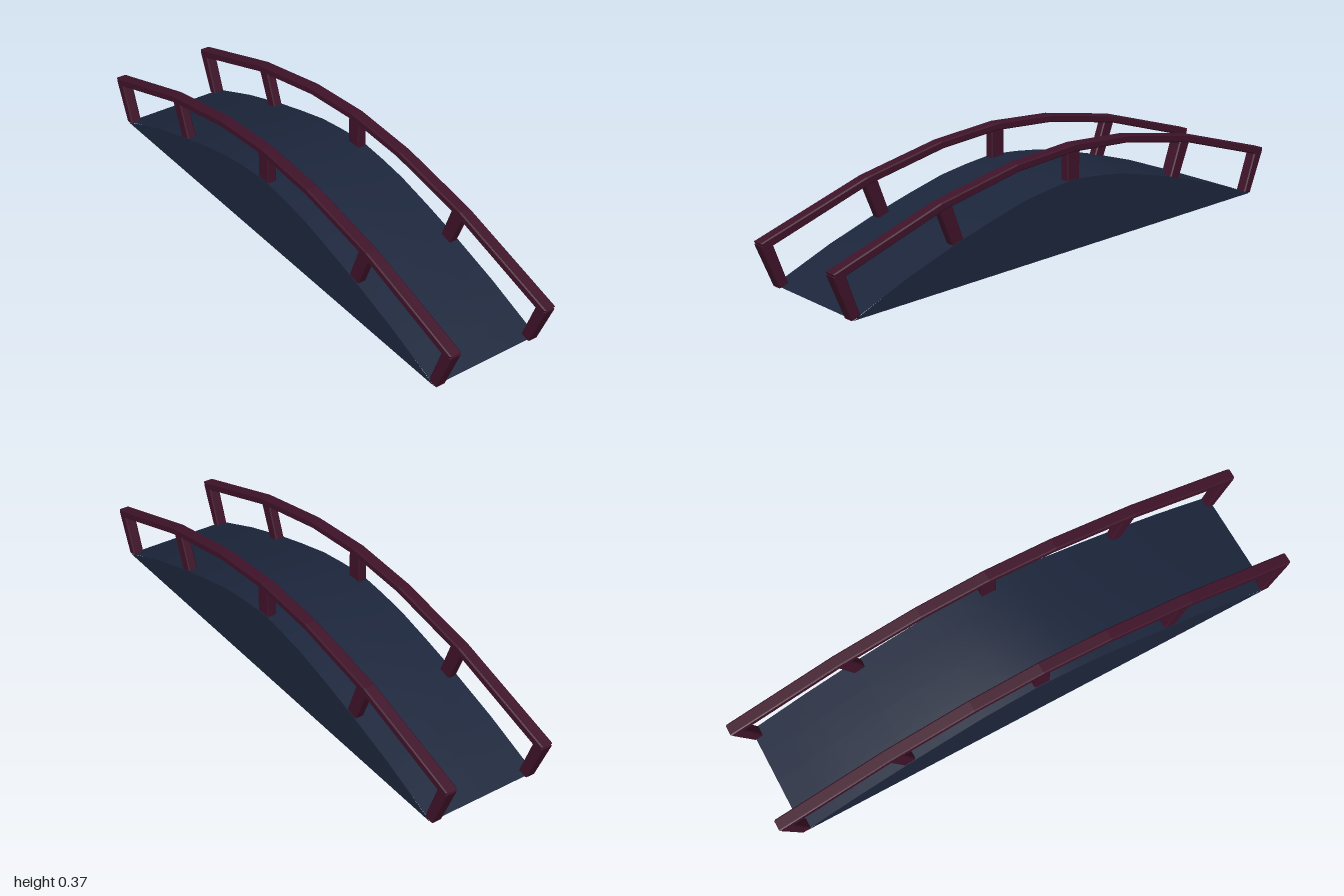
import * as THREE from 'three';

const BLUE = new THREE.MeshStandardMaterial({ color: 0x1c263c, side: THREE.DoubleSide });
const RED = new THREE.MeshStandardMaterial({ color: 0x3f1329, flatShading: true });

// Half profiles as [z, y], from the middle of the bridge to its end
const DECK = [[0, 0.255], [0.12, 0.243], [0.23, 0.227], [0.37, 0.192], [0.51, 0.153], [0.71, 0.088], [0.82, 0.045], [0.93, 0.002]];
const RAIL_TOP = [[0, 0.372], [0.26, 0.354], [0.58, 0.294], [1, 0.165]];
const RAIL_BOTTOM = [[0, 0.345], [0.25, 0.328], [0.57, 0.268], [0.98, 0.14]];
const CROWN = 0.98; // deck edges sit slightly lower than its centre line
const HALF_WIDTH = 0.207;

const mirrorProfile = (p) => [...p.slice(1).reverse().map(([z, y]) => [-z, y]), ...p];
const toShape = (pts) => new THREE.Shape(pts.map(([z, y]) => new THREE.Vector2(z, y)));

// Chamfered slab with a z-y outline, centred on x
function slab(name, pts, width) {
  const bevel = 0.004;
  const geometry = new THREE.ExtrudeGeometry(toShape(pts), {
    depth: width - 2 * bevel, bevelEnabled: true, bevelSegments: 1,
    bevelSize: bevel, bevelThickness: bevel, bevelOffset: -bevel,
  });
  geometry.translate(0, 0, -(width / 2 - bevel)).rotateY(-Math.PI / 2);
  const mesh = new THREE.Mesh(geometry, RED);
  mesh.name = name;
  return mesh;
}

// Arched walking surface, a plane bent along the deck profile
function makeDeck() {
  const stations = mirrorProfile(DECK);
  const geometry = new THREE.PlaneGeometry(HALF_WIDTH * 2, 1, 4, stations.length - 1).rotateX(-Math.PI / 2);
  const pos = geometry.attributes.position;
  for (let i = 0; i < pos.count; i++) {
    const [z, y] = stations[Math.floor(i / 5)];
    const across = Math.abs(pos.getX(i)) / HALF_WIDTH;
    pos.setY(i, y * (1 - (1 - CROWN) * across));
    pos.setZ(i, z);
  }
  geometry.computeVertexNormals();
  const deck = new THREE.Mesh(geometry, BLUE);
  deck.name = 'deck';
  return deck;
}

// Solid wall under one deck edge; the bottom of the bridge stays open
function makeSideWall(side) {
  const outline = mirrorProfile(DECK).map(([z, y]) => [z, y * CROWN]);
  outline[0][1] = outline[outline.length - 1][1] = 0;
  const wall = new THREE.Mesh(new THREE.ShapeGeometry(toShape(outline)).rotateY(-Math.PI / 2), BLUE);
  wall.position.x = side * HALF_WIDTH;
  wall.name = side > 0 ? 'leftWall' : 'rightWall';
  return wall;
}

// Handrail with five posts fanning out towards the ends
function makeRailing(side) {
  const railing = new THREE.Group();
  railing.name = side > 0 ? 'leftRailing' : 'rightRailing';
  railing.add(slab('handrail', [...mirrorProfile(RAIL_TOP), ...mirrorProfile(RAIL_BOTTOM).reverse()], 0.043));
  railing.add(slab('middlePost', [[-0.029, 0.225], [0.029, 0.225], [0.029, 0.355], [-0.029, 0.355]], 0.034));
  const innerPost = [[0.48, 0.135], [0.525, 0.125], [0.588, 0.28], [0.537, 0.288]];
  const endPost = [[0.902, 0.008], [0.936, 0], [1, 0.157], [0.955, 0.157]];
  for (const end of [1, -1]) {
    railing.add(slab('innerPost', innerPost.map(([z, y]) => [z * end, y]), 0.034));
    railing.add(slab('endPost', endPost.map(([z, y]) => [z * end, y]), 0.041));
  }
  railing.position.x = side * 0.188;
  return railing;
}

export function createModel() {
  const bridge = new THREE.Group();
  bridge.name = 'archedBridge';
  bridge.add(makeDeck());
  for (const side of [1, -1]) bridge.add(makeSideWall(side), makeRailing(side));
  return bridge;
}
